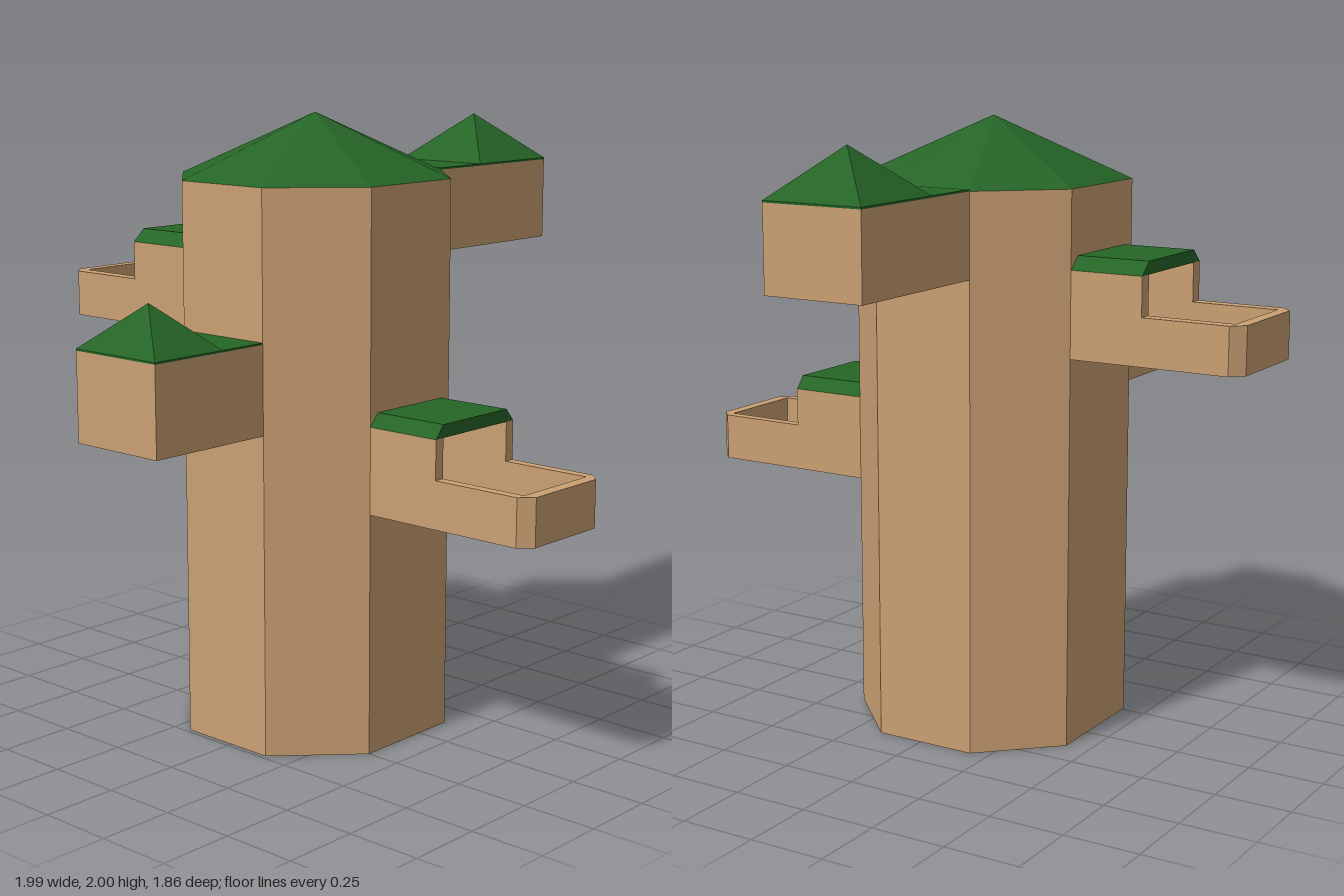
import * as THREE from 'three';

const mat = (name, color) => {
  const m = new THREE.MeshStandardMaterial({ color });
  m.name = name;
  return m;
};

export function createModel() {
  const model = new THREE.Group();
  model.name = 'treeTower';
  const wood = mat('tan', 0xcaa072);
  const leaf = mat('green', 0x256526);
  const rug = mat('red', 0xab3530);

  const add = (parent, name, geometry, material) => {
    const mesh = new THREE.Mesh(geometry, material);
    mesh.name = name;
    parent.add(mesh);
    return mesh;
  };

  // Box given by its minimum and maximum corners
  const span = (xa, xb, ya, yb, za, zb) =>
    new THREE.BoxGeometry(Math.abs(xb - xa), yb - ya, zb - za)
      .translate((xa + xb) / 2, (ya + yb) / 2, (za + zb) / 2);

  // Upright prism from an outline of [x, z] points
  const prism = (outline, ya, yb) => {
    const shape = new THREE.Shape(outline.map(([x, z]) => new THREE.Vector2(x, -z)));
    return new THREE.ExtrudeGeometry(shape, { depth: yb - ya, bevelEnabled: false })
      .rotateX(-Math.PI / 2).translate(0, ya, 0);
  };

  // Eight-sided trunk
  const ring = [
    [-0.42, 0.26], [-0.19, 0.485], [0.155, 0.485], [0.385, 0.25],
    [0.385, -0.13], [0.155, -0.36], [-0.19, -0.36], [-0.42, -0.14],
  ];
  add(model, 'trunk', prism(ring, 0, 1.8), wood);

  // Pointed main roof, one facet for each trunk side
  const facets = [];
  ring.forEach(([x, z], i) => {
    const [nx, nz] = ring[(i + 1) % ring.length];
    facets.push(x, 1.8, z, nx, 1.8, nz, -0.02, 2, 0.06);
  });
  const crown = new THREE.BufferGeometry();
  crown.setAttribute('position', new THREE.Float32BufferAttribute(facets, 3));
  crown.computeVertexNormals();
  add(model, 'mainRoof', crown, leaf);

  // Closed rooms at front and back: box, flat roof and small pyramid
  const room = (name, za, zb, ya, yb, pa, pb, peak) => {
    const g = new THREE.Group();
    g.name = name;
    add(g, 'roomWalls', span(-0.19, 0.155, ya, yb - 0.006, za, zb), wood);
    add(g, 'flatRoof', span(-0.19, 0.155, yb - 0.006, yb, za, zb), leaf);
    const pyramid = new THREE.ConeGeometry(Math.SQRT1_2, 1, 4, 1, true).toNonIndexed();
    pyramid.rotateY(Math.PI / 4).translate(0, 0.5, 0);
    pyramid.scale(0.345, peak - yb, pb - pa).translate(-0.0175, yb, (pa + pb) / 2);
    pyramid.computeVertexNormals();
    add(g, 'pyramidRoof', pyramid, leaf);
    model.add(g);
  };
  room('frontRoom', 0.485, 0.93, 1.04, 1.33, 0.655, 0.93, 1.47);
  room('backRoom', -0.93, -0.36, 1.53, 1.806, -0.93, -0.57, 1.96);

  // Side balconies: chamfered tray, red floor, and a roofed inner part open at its end
  const balcony = (name, x0, xRoom, xEnd, y0, za, zb) => {
    const g = new THREE.Group();
    g.name = name;
    const s = Math.sign(xEnd), c = 0.04;
    const ia = -0.095, ib = 0.215;
    const xc = xEnd - s * c;
    const rim = y0 + 0.153, eave = y0 + 0.279, top = y0 + 0.32;
    const outer = [[x0, za], [xc, za], [xEnd, za + c], [xEnd, zb - c], [xc, zb], [x0, zb]];
    add(g, 'trayBase', prism(outer, y0, y0 + 0.02), wood);
    add(g, 'trayWalls', prism([...outer, [x0, ib], [xc, ib], [xc, ia], [x0, ia]], y0 + 0.02, rim), wood);
    add(g, 'redFloor', span(x0, xc, y0 + 0.02, y0 + 0.026, ia, ib), rug);
    for (const [a, b] of [[za, ia], [ib, zb]]) {
      add(g, 'shelterWall', span(x0, xRoom, rim, eave, a, b), wood);
    }

    // Roof slab with sloping long edges
    const slab = new THREE.Shape([[-zb, eave], [-za, eave], [-ia, top], [-ib, top]]
      .map(([z, y]) => new THREE.Vector2(z, y)));
    const roof = new THREE.ExtrudeGeometry(slab, { depth: Math.abs(xRoom - x0), bevelEnabled: false })
      .rotateY(Math.PI / 2).translate(Math.min(x0, xRoom), 0, 0);
    add(g, 'shelterRoof', roof, leaf);
    model.add(g);
  };
  balcony('leftBalcony', 0.385, 0.645, 0.99, 0.785, -0.13, 0.25);
  balcony('rightBalcony', -0.42, -0.665, -0.995, 1.272, -0.14, 0.26);

  return model;
}
